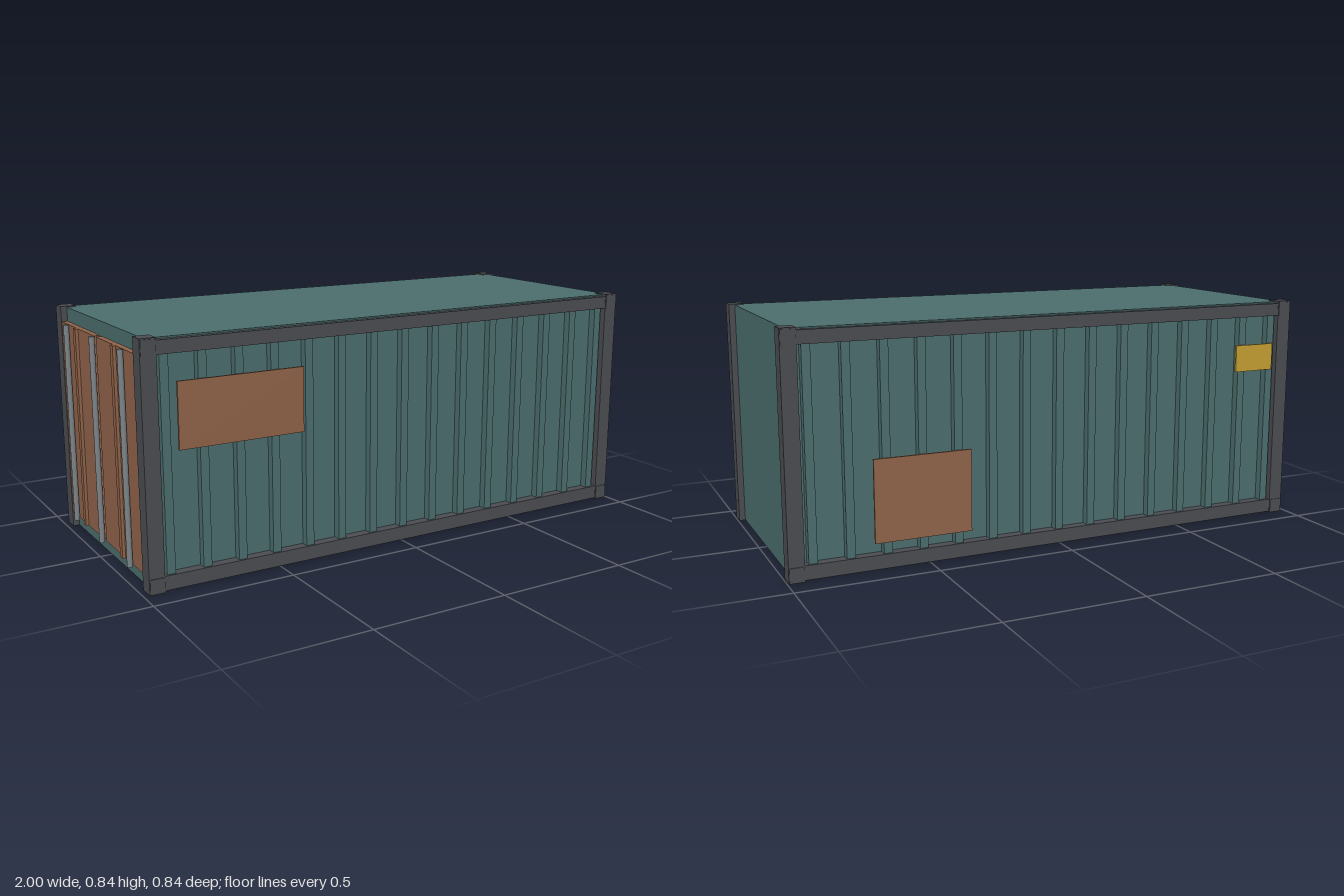
import * as THREE from 'three';

const material = (name, color) => {
  const m = new THREE.MeshStandardMaterial({ color });
  m.name = name;
  return m;
};

export function createModel() {
  const teal = material('teal paint', 0x4c6e6e);
  const steel = material('dark steel', 0x4b4d52);
  const rust = material('rust brown', 0x91644a);
  const yellow = material('label yellow', 0xc6a032);
  const grey = material('rod grey', 0x7c8488);

  const model = new THREE.Group();
  model.name = 'shippingContainer';

  // Box given by its limits on each axis
  const box = (name, mat, [x0, x1], [y0, y1], [z0, z1]) => {
    const mesh = new THREE.Mesh(new THREE.BoxGeometry(x1 - x0, y1 - y0, z1 - z0), mat);
    mesh.position.set((x0 + x1) / 2, (y0 + y1) / 2, (z0 + z1) / 2);
    mesh.name = name;
    model.add(mesh);
    return mesh;
  };
  // Limits along z, mirrored for the back side
  const side = (s, a, b) => (s > 0 ? [a, b] : [-b, -a]);

  // Body, roof sheet and floor
  box('body', teal, [-0.957, 0.973], [0.008, 0.832], [-0.38, 0.38]);
  box('roof', teal, [-0.957, 0.973], [0.82, 0.836], [-0.393, 0.393]);
  box('floor', teal, [-0.957, 0.973], [0.004, 0.02], [-0.393, 0.393]);

  const ends = [[-0.98, -0.925], [0.94, 0.995]];
  for (const s of [1, -1]) {
    // Long rails
    box('topRail', steel, [-0.95, 0.97], [0.785, 0.831], side(s, 0.375, 0.416));
    box('bottomRail', steel, [-0.95, 0.97], [0.008, 0.058], side(s, 0.375, 0.416));

    // Corner posts and castings
    for (const [x0, x1] of ends) {
      box('cornerPost', steel, [x0, x1], [0.003, 0.84], side(s, 0.36, 0.417));
      for (const y of [0.004, 0.784]) {
        box('cornerCasting', steel, [x0 + 0.002, x1 - 0.002], [y, y + 0.052], side(s, 0.37, 0.42));
      }
    }

    // Vertical wall ribs
    for (let i = 0; i < 15; i++) {
      const x = -0.899 + i * 0.1292;
      box('wallRib', teal, [x - 0.015, x + 0.015], [0.05, 0.79], side(s, 0.375, 0.408));
    }

    // Door leaf with its stiffener
    box('door', rust, [-0.978, -0.955], [0.06, 0.785], side(s, 0.01, 0.36));
    box('doorStiffener', rust, [-0.989, -0.975], [0.06, 0.785], side(s, 0.177, 0.201));
  }

  // Locking rods
  for (const z of [-0.275, 0, 0.272]) {
    const rod = new THREE.Mesh(new THREE.CylinderGeometry(0.01, 0.01, 0.73, 12), grey);
    rod.position.set(-0.99, 0.421, z);
    rod.name = 'lockingRod';
    model.add(rod);
  }

  // Patches and label
  box('frontPatch', rust, [-0.862, -0.411], [0.472, 0.696], [0.414, 0.422]);
  box('backPatch', rust, [0.35, 0.70], [0.1, 0.39], [-0.42, -0.412]);
  box('backLabel', yellow, [-0.9, -0.735], [0.58, 0.68], [-0.422, -0.414]);

  return model;
}
